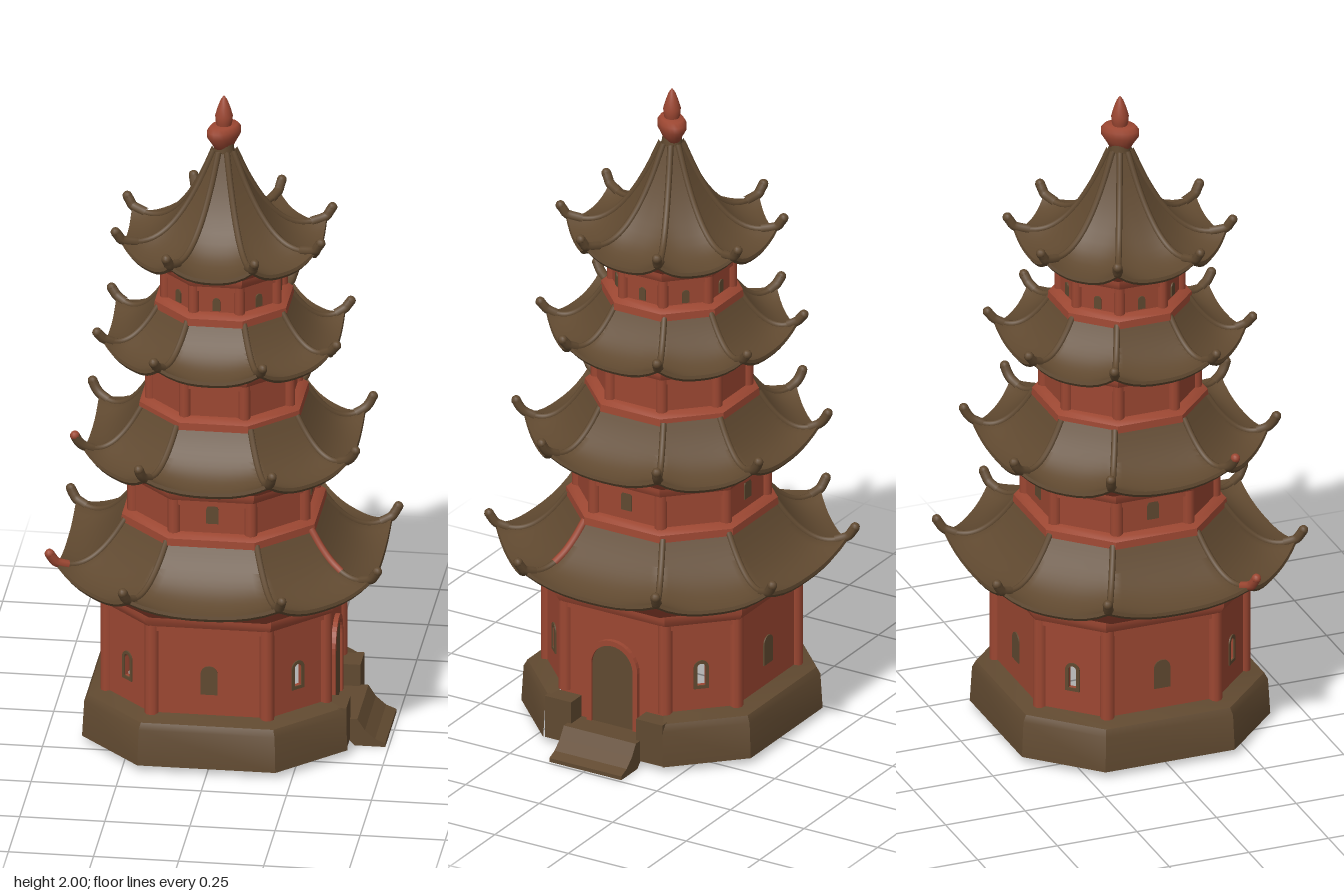
import * as THREE from 'three';
import { toCreasedNormals } from 'three/addons/utils/BufferGeometryUtils.js';

const STEP = Math.PI / 4;

export function createModel() {
  const brown = new THREE.MeshStandardMaterial({ color: 0x604930 });
  brown.name = 'brown tile';
  const red = new THREE.MeshStandardMaterial({ color: 0x9c4732 });
  red.name = 'red plaster';

  const model = new THREE.Group();
  model.name = 'pagoda';

  function add(parent, name, geometry, material, x = 0, y = 0, z = 0) {
    const mesh = new THREE.Mesh(geometry, material);
    mesh.name = name;
    mesh.position.set(x, y, z);
    parent.add(mesh);
    return mesh;
  }

  // Octagon with corners at (a * t, a): distance and half width of side k
  function sideSize(a, t, k) {
    return k % 2 ? [a * (1 + t) * Math.SQRT1_2, a * (1 - t) * Math.SQRT1_2] : [a, a * t];
  }

  // Octagonal loft; rows run from top to bottom as [apothem, y, corner lift]
  function loft(rows, t, n = 1, skippedSide = -1) {
    const pos = [], idx = [];
    for (let k = 0; k < 8; k++) {
      if (k === skippedSide) continue;
      const base = pos.length / 3, c = Math.cos(k * STEP), s = Math.sin(k * STEP);
      for (const [a, y, lift = 0] of rows) {
        const [dist, half] = sideSize(a, t, k);
        for (let j = 0; j <= n; j++) {
          const u = (j / n) * 2 - 1, x = u * half;
          pos.push(x * c + dist * s, y + lift * Math.abs(u) ** 2.5, dist * c - x * s);
        }
      }
      for (let i = 0; i < rows.length - 1; i++) {
        for (let j = 0; j < n; j++) {
          const a = base + i * (n + 1) + j, b = a + n + 1;
          idx.push(a, b, b + 1, a, b + 1, a + 1);
        }
      }
    }
    const g = new THREE.BufferGeometry();
    g.setAttribute('position', new THREE.Float32BufferAttribute(pos, 3));
    g.setIndex(idx);
    return toCreasedNormals(g, 0.6);
  }

  // Round-headed outline of width w from y0 to y1
  function arch(w, y0, y1, Type = THREE.Shape) {
    const s = new Type(), r = w / 2;
    s.moveTo(-r, y0);
    s.lineTo(r, y0);
    s.lineTo(r, y1 - r);
    s.absarc(0, y1 - r, r, 0, Math.PI, false);
    s.lineTo(-r, y0);
    return s;
  }
  const slab = (shape, depth) =>
    new THREE.ExtrudeGeometry(shape, { depth, bevelEnabled: false, curveSegments: 8 });

  function archFrame(w, y0, y1, border, depth) {
    const s = arch(w + 2 * border, y0 - border, y1 + border);
    s.holes.push(arch(w, y0, y1, THREE.Path));
    return slab(s, depth);
  }

  // wall apothem, wall bottom/top, eave apothem/height, roof top apothem/height, roof curve,
  // horn tip [radius, y], corner ratio of wall and roof, window [width, bottom, top]
  const tiers = [
    { W: 0.335, y0: 0.16, y1: 0.47, E: 0.463, ye: 0.542, T: 0.272, yt: 0.69, curve: 2.2, tip: [0.535, 0.61], wt: 0.53, rt: 0.485, win: [0.05, 0.23, 0.32] },
    { W: 0.265, y0: 0.69, y1: 0.845, E: 0.39, ye: 0.902, T: 0.228, yt: 1.04, curve: 2.2, tip: [0.456, 0.975], wt: 0.45, rt: 0.475, win: [0.036, 0.745, 0.805] },
    { W: 0.217, y0: 1.04, y1: 1.195, E: 0.335, ye: 1.232, T: 0.182, yt: 1.355, curve: 2.2, tip: [0.386, 1.292], wt: 0.43, rt: 0.455, win: null },
    { W: 0.175, y0: 1.355, y1: 1.49, E: 0.285, ye: 1.537, T: 0.028, yt: 1.83, curve: 2.4, tip: [0.328, 1.602], wt: 0.414, rt: 0.43, win: [0.022, 1.385, 1.425] },
  ];

  function buildWalls(t, level, parent) {
    const { W, y0, y1, win, wt } = t, ground = level === 0;
    for (let k = 0; k < 8; k++) {
      const side = new THREE.Group();
      side.name = 'wallSide';
      side.rotation.y = k * STEP;
      parent.add(side);
      const [dist, half] = sideSize(W, wt, k), face = dist - 0.01;
      const isDoor = ground && k === 2, diagonal = k % 2 === 1, pierced = ground && diagonal;
      const bottom = isDoor ? 0.02 : y0 - 0.02;
      const panel = new THREE.Shape();
      panel.moveTo(-half, bottom);
      panel.lineTo(half, bottom);
      panel.lineTo(half, y1 + 0.01);
      panel.lineTo(-half, y1 + 0.01);
      if (pierced) panel.holes.push(arch(win[0] * 0.5, win[1] + 0.01, win[2] - 0.01, THREE.Path));
      add(side, 'wallPanel', slab(panel, 0.012), red, 0, 0, face - 0.012);
      add(side, 'lintel', new THREE.BoxGeometry(2 * half - 0.01, 0.045, 0.012), red, 0, y1 - 0.02, face + 0.002);
      if (isDoor) {
        add(side, 'door', slab(arch(0.14, 0.07, 0.34), 0.007), brown, 0, 0, face);
        add(side, 'doorFrame', archFrame(0.14, 0.07, 0.34, 0.016, 0.014), red, 0, 0, face);
      } else if (pierced) {
        const [w, a, b] = win;
        add(side, 'windowSurround', archFrame(w * 0.5, a + 0.01, b - 0.01, w * 0.2, 0.004), brown, 0, 0, face);
      } else if (win && (!diagonal || level === 3)) {
        add(side, 'window', slab(arch(...win), 0.004), brown, 0, 0, face);
      }
      // Brown lining behind the front wall
      if (ground && k === 0) {
        add(side, 'innerLining', new THREE.BoxGeometry(2 * half - 0.03, y1 - y0, 0.004), brown, 0, (y0 + y1) / 2, face - 0.015);
      }
      // Corner post at the right-hand end of each side
      const r = 0.01 + W * 0.035, c = W * Math.hypot(1, wt) - r * 0.85, q = Math.atan2(half, dist);
      add(side, 'cornerPost', new THREE.CylinderGeometry(r, r, y1 - y0, 10), red,
        c * Math.sin(q), (y0 + y1) / 2, c * Math.cos(q));
    }
    if (!ground) {
      add(parent, 'sillBand', loft([[W - 0.02, y0 + 0.026], [W + 0.002, y0 + 0.024], [W + 0.018, y0 + 0.012],
        [W + 0.02, y0 - 0.01], [W - 0.02, y0 - 0.02]], wt), red);
    }
    add(parent, 'corniceBand', loft([[W + 0.014, y1 + 0.012], [W + 0.014, y1 - 0.005],
      [W + 0.004, y1 - 0.025], [W - 0.015, y1 - 0.03]], wt), red);
  }

  function buildRoof(t, level, parent) {
    const { W, y1, E, ye, T, yt, curve, tip, rt } = t, lift = 0.04, rows = [];
    const N = 12;
    for (let i = 0; i <= N; i++) {
      const v = i / N;
      rows.push([T + (E - T) * v, ye + (yt - ye) * (1 - v) ** curve, lift * v ** 3]);
    }
    const lip = [E - 0.028, ye - 0.022, lift];
    add(parent, 'roofTiles', loft([...rows, [E + 0.002, ye - 0.01, lift], [E - 0.005, ye - 0.02, lift], lip], rt, 10), brown);
    add(parent, 'soffit', loft([lip, [(E + W) / 2, (ye + y1) / 2, lift * 0.5],
      [W + 0.025, y1 + 0.012, 0], [W - 0.005, y1 - 0.005, 0]], rt, 10), red);

    // Corner ridges that end in upturned horns
    const path = rows.filter((_, i) => i % 2 === 0)
      .map(([a, y, l]) => new THREE.Vector3(0, y + l - 0.001, a * Math.hypot(1, rt)));
    const upper = new THREE.CatmullRomCurve3(path.slice(0, 4));
    path.push(new THREE.Vector3(0, (ye + lift + tip[1]) / 2 - 0.002, tip[0] - 0.01), new THREE.Vector3(0, tip[1], tip[0]));
    const ridge = new THREE.TubeGeometry(new THREE.CatmullRomCurve3(path), 28, 0.0095, 8);
    const horn = new THREE.TubeGeometry(new THREE.CatmullRomCurve3(path.slice(-4)), 12, 0.0145, 8);
    const cap = new THREE.SphereGeometry(0.0145, 10, 8);
    for (let k = 0; k < 4; k++) {
      for (const s of [-1, 1]) {
        const corner = new THREE.Group();
        corner.name = 'roofCorner';
        corner.rotation.y = k * 2 * STEP + s * Math.atan(rt);
        parent.add(corner);
        // Weathered red spots on a few corners
        const worn = k === 3 && s === 1;
        add(corner, 'ridge', ridge, brown);
        add(corner, 'horn', horn, worn && level === 0 ? red : brown);
        add(corner, 'hornTip', cap, worn && level < 2 ? red : brown, 0, tip[1], tip[0]);
        if (level === 0 && k === 1 && s === -1) {
          add(corner, 'wornRidge', new THREE.TubeGeometry(upper, 10, 0.0115, 8), red);
        }
      }
    }
  }

  tiers.forEach((t, level) => {
    const tier = new THREE.Group();
    tier.name = 'tier' + (level + 1);
    model.add(tier);
    buildWalls(t, level, tier);
    buildRoof(t, level, tier);
  });

  // Ceiling of the hollow ground floor
  const ceiling = add(model, 'ceiling', new THREE.CircleGeometry(0.345, 32), red, 0, 0.475, 0);
  ceiling.rotation.x = Math.PI / 2;

  // Hollow plinth with a red inside, left open in front of the door and closed by two cheeks
  const plinth = [[0.32, 0.166], [0.374, 0.15], [0.384, 0.13], [0.39, 0.02]];
  add(model, 'plinth', loft(plinth, 0.52, 1, 2), brown);
  const inside = plinth.map(([a, y]) => [a - 0.004, y - 0.001]).reverse();
  add(model, 'plinthInside', loft(inside, 0.52, 1, 2), red);
  for (const s of [-1, 1]) {
    add(model, 'plinthCheek', new THREE.BoxGeometry(0.058, 0.132, 0.09), brown, 0.357, 0.086, s * 0.155);
  }

  // Door step with a sloping front
  const step = new THREE.Shape([[0.325, 0.02], [0.38, 0.02], [0.4, 0], [0.49, 0], [0.49, 0.012], [0.46, 0.024],
    [0.43, 0.05], [0.408, 0.084], [0.325, 0.084]].map(([x, y]) => new THREE.Vector2(x, y)));
  add(model, 'doorStep', slab(step, 0.245), brown, 0, 0, -0.123);

  // Finial: neck, flattened bulb and flame
  const turned = (pts) => new THREE.LatheGeometry(pts.map(([r, y]) => new THREE.Vector2(r, y)), 20);
  add(model, 'finialNeck', turned([[0.038, 1.78], [0.032, 1.81], [0.028, 1.85]]), brown);
  const bulb = add(model, 'finialBulb', turned([[0, 1.828], [0.028, 1.836], [0.038, 1.855], [0.05, 1.875],
    [0.05, 1.893], [0.04, 1.906], [0, 1.908]]), red);
  bulb.scale.set(1.15, 1, 0.8);
  bulb.rotation.y = 0.9;
  add(model, 'finialFlame', turned([[0.018, 1.89], [0.024, 1.915], [0.026, 1.935], [0.019, 1.96],
    [0.01, 1.985], [0, 2]]), red);

  return model;
}
